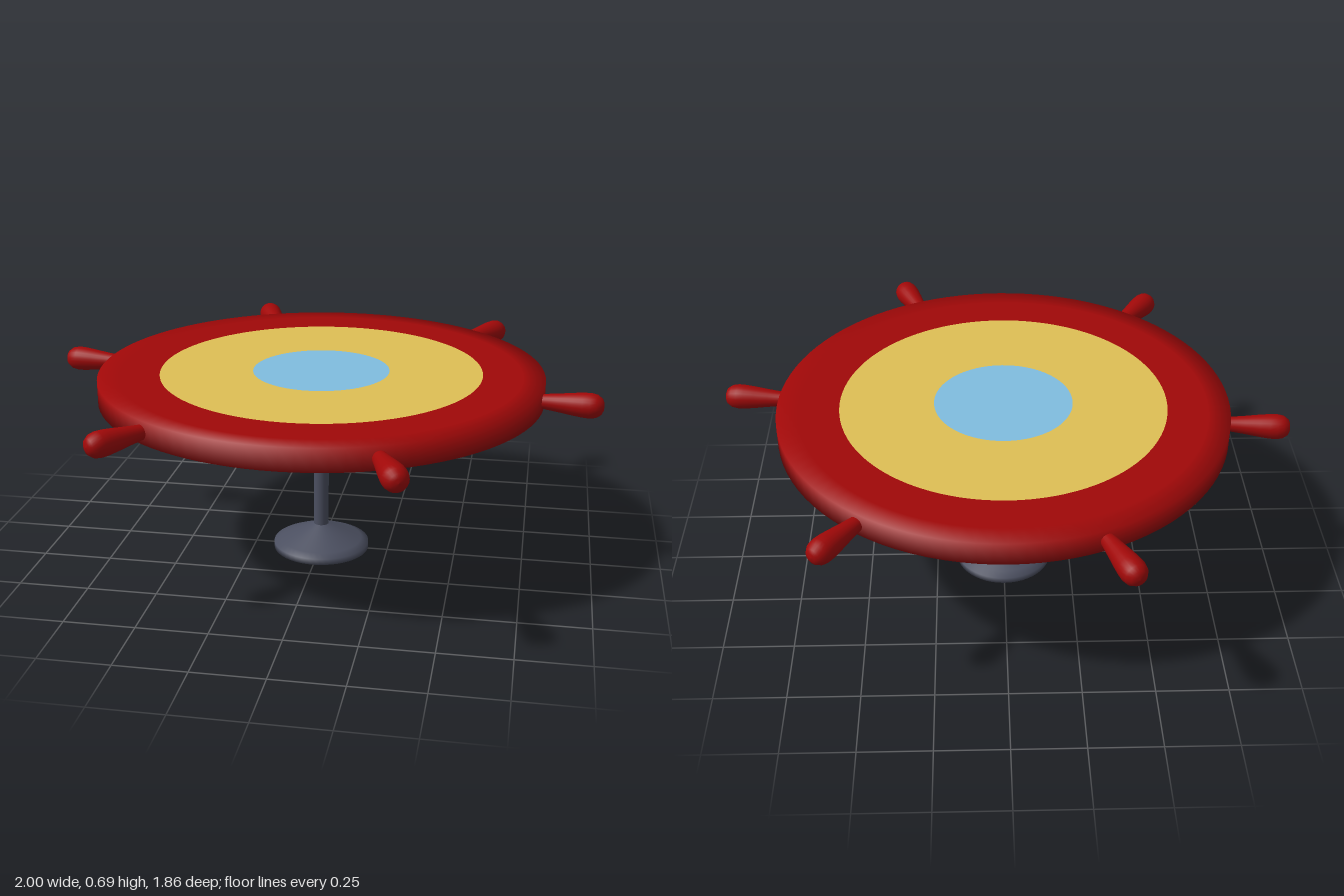
import * as THREE from 'three';

const material = (name, color, side = THREE.FrontSide) => {
  const m = new THREE.MeshStandardMaterial({ color, side });
  m.name = name;
  return m;
};

// Revolve a profile of [radius, height] pairs, listed from bottom to top
const lathe = (pairs, segments) =>
  new THREE.LatheGeometry(pairs.map(([r, y]) => new THREE.Vector2(r, y)), segments);

export function createModel() {
  const red = material('red paint', 0xa00808, THREE.DoubleSide);
  const gold = material('gold paint', 0xdfbf55);
  const blue = material('blue paint', 0x80bde0);
  const iron = material('dark iron', 0x4b4f60);

  const model = new THREE.Group();
  model.name = 'wheelTable';
  const add = (name, geometry, mat, parent = model) => {
    const mesh = new THREE.Mesh(geometry, mat);
    mesh.name = name;
    parent.add(mesh);
    return mesh;
  };

  // Wheel: flat underside blending into the pole, softly shaded rim, flat top
  const top = 0.692, bottom = 0.611;
  add('wheelRim', lathe([
    [0.025, 0.6], [0.025, bottom], [0.2, bottom], [0.6, bottom],
    [0.798, bottom], [0.798, top], [0.72, top], [0.578, top],
  ], 96), red);

  // Coloured top panels
  add('goldRing', new THREE.RingGeometry(0.245, 0.578, 96).rotateX(-Math.PI / 2), gold)
    .position.y = top;
  add('blueCentre', new THREE.CircleGeometry(0.245, 96).rotateX(-Math.PI / 2), blue)
    .position.y = top;

  // Six handles spaced around the rim
  const handle = lathe([
    [0.025, 0.77], [0.026, 0.8], [0.032, 0.85], [0.039, 0.9], [0.043, 0.935],
    [0.044, 0.96], [0.04, 0.982], [0.028, 0.999], [0.014, 1.005], [0, 1.007],
  ], 24).rotateZ(-Math.PI / 2);
  const handles = new THREE.Group();
  handles.name = 'handles';
  handles.position.y = 0.651;
  model.add(handles);
  for (let i = 0; i < 6; i++) {
    add('handle', handle, red, handles).rotation.y =
      -THREE.MathUtils.degToRad(7.2 + i * 60);
  }

  // Pedestal: flat conical foot and slim pole
  add('foot', lathe([
    [0, 0], [0.15, 0], [0.177, 0], [0.177, 0.022], [0.15, 0.035], [0.026, 0.093],
  ], 48), iron);
  add('pole', new THREE.CylinderGeometry(0.0275, 0.0275, 0.54, 24).translate(0, 0.35, 0), iron);

  return model;
}
